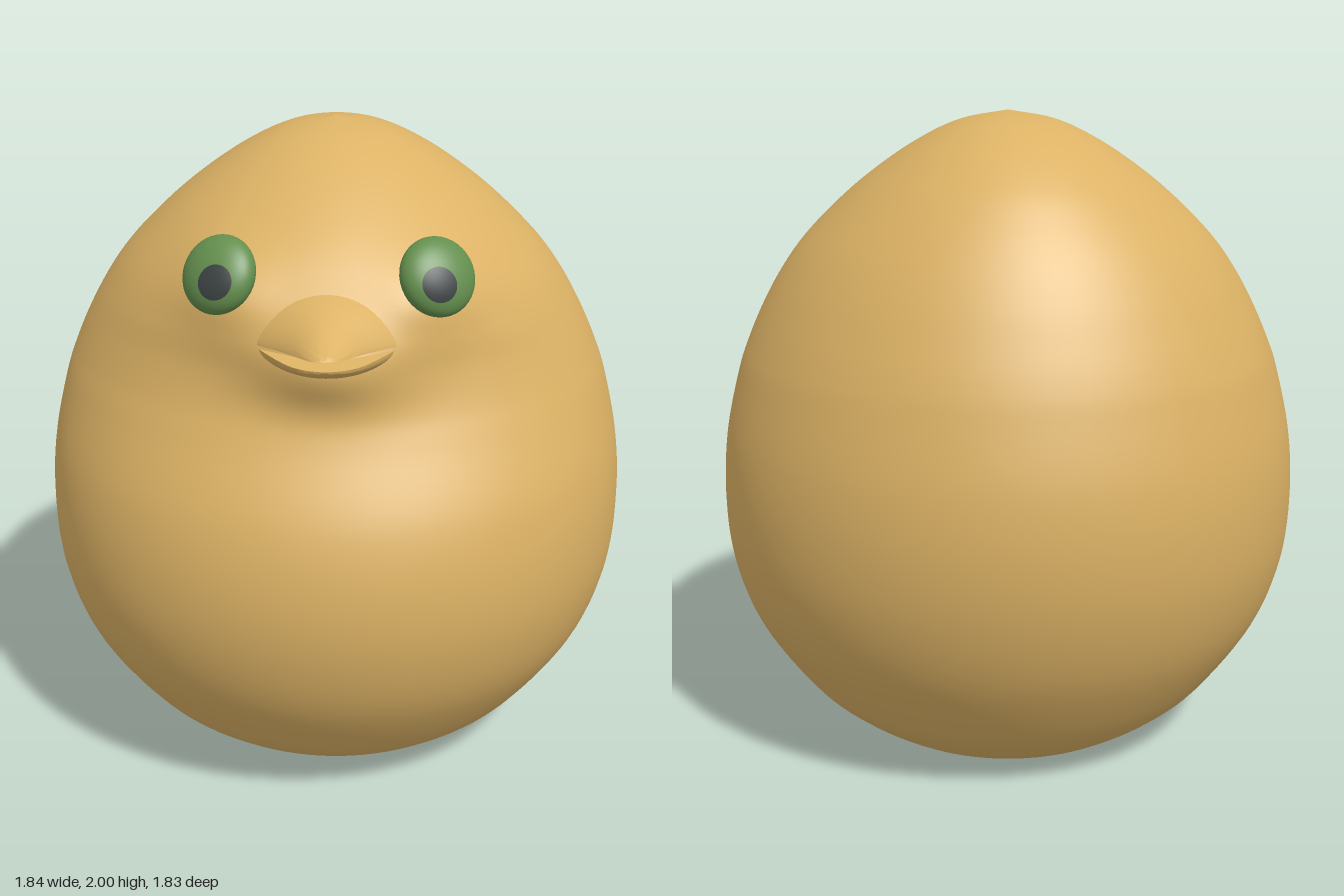
import * as THREE from 'three';
import { toCreasedNormals } from 'three/addons/utils/BufferGeometryUtils.js';

const skin = new THREE.MeshStandardMaterial({ color: 0xdcb265 });
skin.name = 'warm sand';
const green = new THREE.MeshStandardMaterial({ color: 0x648f4e });
green.name = 'eye green';
const dark = new THREE.MeshStandardMaterial({ color: 0x3c4242 });
dark.name = 'pupil charcoal';

// Skins a stack of closed rings; point(i, k) returns [x, y, z]
function loft(rows, cols, point) {
  const pos = [], idx = [];
  for (let i = 0; i <= rows; i++) {
    for (let k = 0; k < cols; k++) {
      pos.push(...point(i, k));
      if (i === rows) continue;
      const a = i * cols + k, b = i * cols + (k + 1) % cols;
      idx.push(a, b, a + cols, b, b + cols, a + cols);
    }
  }
  const geo = new THREE.BufferGeometry();
  geo.setAttribute('position', new THREE.Float32BufferAttribute(pos, 3));
  geo.setIndex(idx);
  geo.computeVertexNormals();
  return geo;
}

function part(name, geo, mat) {
  const mesh = new THREE.Mesh(geo, mat);
  mesh.name = name;
  return mesh;
}

const bump = (x, y, cx, cy, sx, sy) =>
  Math.exp(-(((x - cx) / sx) ** 2) - ((y - cy) / sy) ** 2);

// Egg body: height, half width, front depth, back depth
function bodyGeometry() {
  const profile = [
    [0, 0.41, 0.41, 0.41], [0.02, 0.46, 0.46, 0.46], [0.1, 0.58, 0.58, 0.58],
    [0.2, 0.69, 0.69, 0.68], [0.4, 0.83, 0.83, 0.81], [0.6, 0.9, 0.9, 0.885],
    [0.8, 0.918, 0.913, 0.915], [1, 0.905, 0.87, 0.905], [1.2, 0.86, 0.77, 0.86],
    [1.3, 0.825, 0.725, 0.83], [1.4, 0.78, 0.7, 0.79], [1.5, 0.725, 0.69, 0.745],
    [1.6, 0.655, 0.66, 0.69], [1.7, 0.56, 0.59, 0.62], [1.8, 0.445, 0.475, 0.53],
    [1.9, 0.3, 0.32, 0.39], [1.97, 0.155, 0.16, 0.21], [2, 0.001, 0.001, 0.001],
  ];
  const sides = new THREE.CatmullRomCurve3(
    profile.map(([y, w, f]) => new THREE.Vector3(w, y, f)), false, 'catmullrom');
  const back = new THREE.CatmullRomCurve3(
    profile.map(([y, , , b]) => new THREE.Vector3(b, y, 0)), false, 'catmullrom');
  const rows = 110, cols = 96;
  return loft(rows, cols, (i, k) => {
    const s = sides.getPoint(i / rows), b = back.getPoint(i / rows).x;
    const a = (k / cols) * Math.PI * 2, c = Math.cos(a);
    const x = s.x * Math.sin(a), y = s.y;
    let z = c * (c > 0 ? s.z : b);
    if (c > 0) {
      // chin swelling and raised eye sockets
      z += 0.085 * bump(x, y, 0, 1.44, 0.2, 0.11) * c;
      z += 0.05 * bump(Math.abs(x), y, 0.3, 1.63, 0.14, 0.12) * c;
    }
    return [x, y, z];
  });
}

// Lip section: depth, half width, edge height, rise above edge, drop below edge
function lipGeometry(sections, power) {
  const curve = (j, l) => new THREE.CatmullRomCurve3(
    sections.map((s) => new THREE.Vector3(s[j], s[l], s[0])), false, 'catmullrom');
  const c1 = curve(1, 2), c2 = curve(3, 4), rows = 20, cols = 48;
  const geo = loft(rows, cols, (i, k) => {
    const p = c1.getPoint(i / rows), q = c2.getPoint(i / rows);
    const a = (k / cols) * Math.PI * 2, s = Math.sin(a);
    const y = s > 0 ? q.x * s ** power : -q.y * Math.abs(s) ** power;
    return [p.x * Math.cos(a), p.y + y, p.z];
  });
  return toCreasedNormals(geo, 0.9);
}

// Flattened eyeball with a pupil cap flush in its surface
function makeEye(side) {
  const eye = new THREE.Group();
  eye.name = side > 0 ? 'leftEye' : 'rightEye';
  const gaze = new THREE.Vector3(-0.27 * side, -0.3, 0.9).normalize();
  const turn = new THREE.Quaternion().setFromUnitVectors(new THREE.Vector3(0, 1, 0), gaze);
  const cap = 0.47;
  const shell = (start, length) => new THREE.SphereGeometry(1, 40, 24, 0, Math.PI * 2, start, length)
    .applyQuaternion(turn).scale(0.113, 0.113, 0.062);
  eye.add(part('iris', shell(cap, Math.PI - cap), green));
  eye.add(part('pupil', shell(0, cap), dark));
  eye.position.set(0.3 * side, 1.665, 0.6);
  eye.lookAt(0.3 * side + 0.48 * side, 1.665 + 0.5, 0.6 + 0.85);
  return eye;
}

export function createModel() {
  const model = new THREE.Group();
  model.name = 'roundBird';
  model.add(part('body', bodyGeometry(), skin));

  // Underside with a hollow in the middle
  const base = [[0, 0.12], [0.06, 0.11], [0.12, 0.07], [0.16, 0.025], [0.2, 0.006], [0.3, 0.002], [0.41, 0]]
    .map(([r, y]) => new THREE.Vector2(r, y));
  model.add(part('base', new THREE.LatheGeometry(base, 64), skin));

  // Pointed upper beak flaring into the face
  model.add(part('upperBeak', lipGeometry([
    [0.54, 0.3, 1.49, 0.17, 0], [0.63, 0.25, 1.492, 0.14, 0], [0.7, 0.19, 1.495, 0.115, 0],
    [0.78, 0.115, 1.502, 0.075, 0], [0.86, 0.06, 1.512, 0.032, 0],
    [0.9, 0.032, 1.518, 0.012, 0], [0.916, 0.002, 1.522, 0.001, 0],
  ], 1.5), skin));

  // Shorter lower beak
  model.add(part('lowerBeak', lipGeometry([
    [0.56, 0.25, 1.492, 0, 0.1], [0.68, 0.2, 1.488, 0, 0.08], [0.75, 0.15, 1.48, 0, 0.06],
    [0.8, 0.1, 1.472, 0, 0.035], [0.825, 0.055, 1.468, 0, 0.015], [0.835, 0.002, 1.466, 0, 0.001],
  ], 1), skin));

  for (const side of [-1, 1]) model.add(makeEye(side));
  return model;
}
